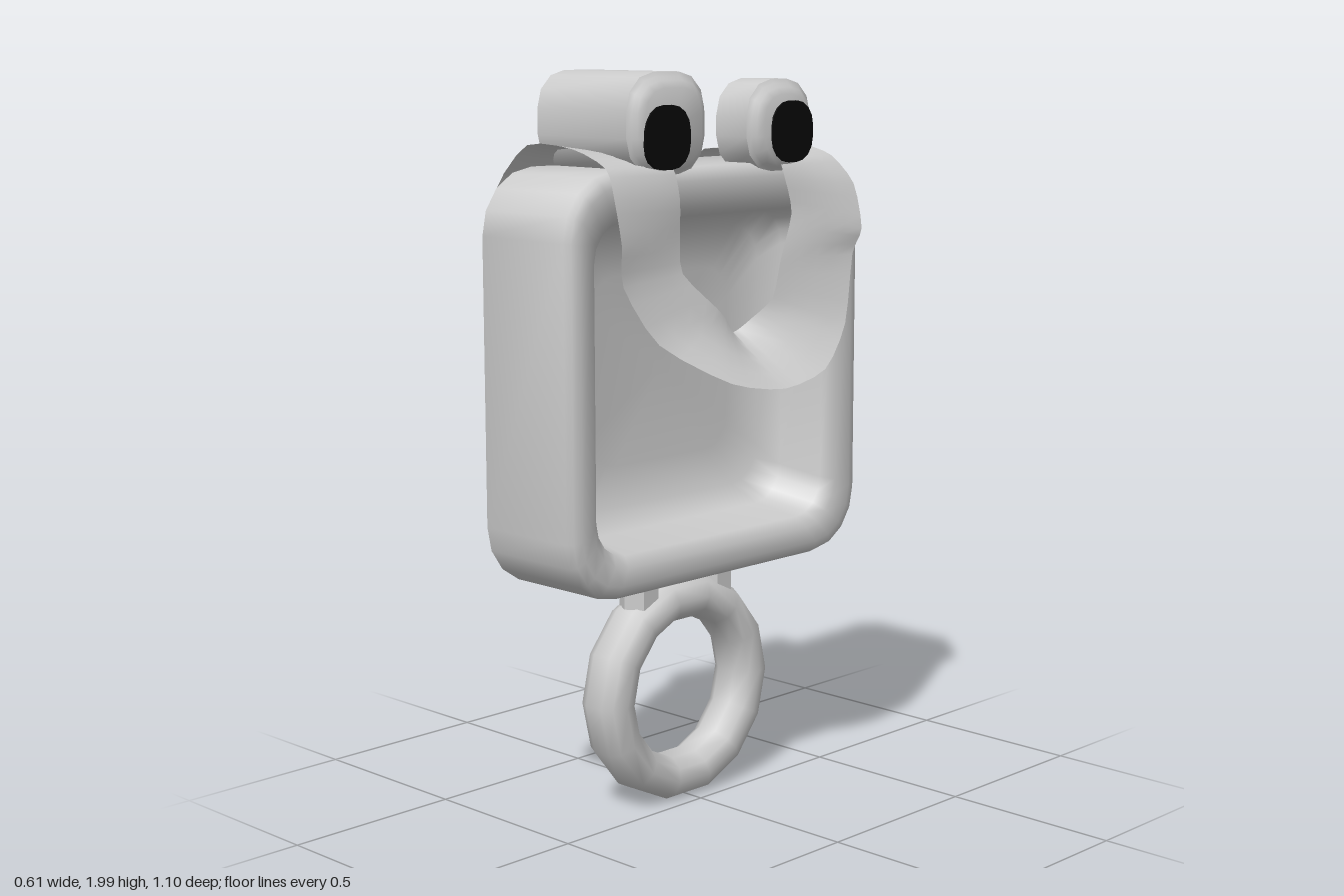
import * as THREE from 'three';
import { toCreasedNormals } from 'three/addons/utils/BufferGeometryUtils.js';

const grey = new THREE.MeshStandardMaterial({ color: 0xcccccc });
const black = new THREE.MeshStandardMaterial({ color: 0x080808 });
const cloth = new THREE.MeshStandardMaterial({ color: 0xcccccc, side: THREE.DoubleSide });

// Rounded rectangle across z and y at one x, counter-clockwise seen from +x
function roundedLoop([x, z0, z1, y0, y1, r], segs) {
  const corners = [[z0 + r, y1 - r], [z1 - r, y1 - r], [z1 - r, y0 + r], [z0 + r, y0 + r]];
  const loop = [];
  corners.forEach(([cz, cy], c) => {
    for (let i = 0; i <= segs; i++) {
      const a = Math.PI - (c + i / segs) * Math.PI / 2;
      loop.push(new THREE.Vector3(x, cy + r * Math.sin(a), cz + r * Math.cos(a)));
    }
  });
  return loop.reverse();
}

// Skin a list of rounded rectangles and cap both ends
function loft(sections, segs, crease) {
  const loops = sections.map(s => roundedLoop(s, segs));
  const n = loops[0].length, pts = [], idx = [];
  const add = p => pts.push(p) - 1;
  const centre = loop => loop.reduce((s, p) => s.add(p), new THREE.Vector3()).divideScalar(n);
  loops.forEach(loop => loop.forEach(add));
  const first = add(centre(loops[0])), last = add(centre(loops.at(-1)));
  const end = (loops.length - 1) * n;
  // the loops run from -z over +y when seen from +x after reversal is undone here
  const area = loops[0].reduce((s, p, i) => {
    const q = loops[0][(i + 1) % n];
    return s + p.y * q.z - p.z * q.y;
  }, 0);
  const tri = (a, b, c) => (area > 0 ? idx.push(a, b, c) : idx.push(a, c, b));
  for (let i = 0; i < n; i++) {
    const j = (i + 1) % n;
    for (let k = 0; k < end; k += n) {
      tri(k + i, k + j, k + n + j);
      tri(k + i, k + n + j, k + n + i);
    }
    tri(first, j, i);
    tri(last, end + i, end + j);
  }
  const g = new THREE.BufferGeometry().setFromPoints(pts);
  g.setIndex(idx);
  return toCreasedNormals(g, crease);
}

function mesh(name, geometry, material = grey) {
  const m = new THREE.Mesh(geometry, material);
  m.name = name;
  return m;
}

// Eye: barrel with a bevelled front and a dark pupil
function makeEye(name, back, z0, z1, y0, y1) {
  const eye = new THREE.Group();
  eye.name = name;
  const r = 0.095, zc = Math.sign(z0) * 0.235;
  eye.add(mesh('eyeBarrel', loft([
    [back, z0, z1, y0, y1, r],
    [0.08, z0, z1, y0, y1, r],
    [0.088, z0 + 0.012, z1 - 0.012, y0 + 0.01, y1 - 0.012, r - 0.01],
    [0.1, z0 + 0.02, z1 - 0.02, y0 + 0.015, y1 - 0.022, r - 0.015],
    [0.11, z0 + 0.04, z1 - 0.04, y0 + 0.03, y1 - 0.04, r - 0.03],
  ], 3, 0.75)));
  eye.add(mesh('pupil', loft([
    [0.1, zc - 0.08, zc + 0.08, 1.755, 1.918, 0.065],
    [0.115, zc - 0.08, zc + 0.08, 1.755, 1.918, 0.065],
  ], 4, 0.6), black));
  return eye;
}

// Cloth strip between an outer and an inner edge
function makeBib() {
  // outer x, y, z, inner x, y, z
  const straps = [
    [-0.29, 1.57, 0.455, -0.27, 1.55, 0.22],
    [-0.30, 1.70, 0.45, -0.27, 1.70, 0.22],
    [-0.18, 1.815, 0.45, -0.19, 1.78, 0.21],
    [-0.02, 1.81, 0.44, -0.02, 1.78, 0.20],
    [0.09, 1.765, 0.43, 0.09, 1.765, 0.20],
    [0.13, 1.69, 0.44, 0.12, 1.68, 0.20],
  ];
  const front = [
    [0.15, 1.58, 0.435, 0.12, 1.58, 0.20],
    [0.15, 1.475, 0.43, 0.13, 1.49, 0.20],
    [0.19, 1.326, 0.345, 0.155, 1.395, 0.10],
    [0.285, 1.22, 0.18, 0.14, 1.355, 0.045],
    [0.305, 1.19, 0, 0.12, 1.32, 0],
    [0.285, 1.22, -0.18, 0.14, 1.355, -0.05],
    [0.215, 1.32, -0.34, 0.155, 1.405, -0.115],
    [0.17, 1.50, -0.42, 0.145, 1.50, -0.155],
    [0.185, 1.57, -0.44, 0.125, 1.62, -0.22],
    [0.15, 1.69, -0.445, 0.115, 1.71, -0.205],
  ];
  const rear = straps.slice(0, 5).reverse().map(([a, b, c, d, e, f]) =>
    [Math.max(a, -0.277), Math.min(b, 1.79), -c + 0.01, Math.max(d, -0.265), e, -f]);
  rear.at(-1)[1] = rear.at(-1)[4] = 1.52;
  const rows = [...straps, ...front, ...rear];
  const edge = o => new THREE.CatmullRomCurve3(
    rows.map(r => new THREE.Vector3(r[o], r[o + 1], r[o + 2])), false, 'catmullrom', 0.35);
  const outer = edge(0), inner = edge(3);
  const along = (rows.length - 1) * 3, across = 4;
  const g = new THREE.PlaneGeometry(1, 1, across, along);
  const pos = g.attributes.position;
  for (let j = 0, v = 0; j <= along; j++) {
    const a = outer.getPoint(j / along), b = inner.getPoint(j / along);
    for (let i = 0; i <= across; i++, v++) {
      const p = a.clone().lerp(b, i / across);
      pos.setXYZ(v, p.x, p.y, p.z);
    }
  }
  g.computeVertexNormals();
  return mesh('bib', g, cloth);
}

export function createModel() {
  const model = new THREE.Group();
  model.name = 'openMouthedTag';

  // Case: rounded box with a scooped mouth in its +x face
  model.add(mesh('body', loft([
    [-0.253, -0.535, 0.535, 0.67, 1.74, 0.16],
    [-0.243, -0.55, 0.55, 0.655, 1.755, 0.17],
    [0.06, -0.55, 0.55, 0.655, 1.755, 0.17],
    [0.078, -0.54, 0.54, 0.665, 1.745, 0.16],
    [0.085, -0.515, 0.515, 0.69, 1.72, 0.14],
    [0.085, -0.455, 0.475, 0.735, 1.655, 0.12],
    [0.06, -0.42, 0.445, 0.765, 1.627, 0.1],
    [-0.08, -0.405, 0.425, 0.785, 1.615, 0.1],
    [-0.13, -0.36, 0.38, 0.84, 1.57, 0.1],
    [-0.145, -0.25, 0.27, 0.95, 1.46, 0.09],
  ], 4, 1.0)));

  model.add(makeEye('leftEye', -0.25, 0.07, 0.35, 1.74, 2.0));
  model.add(makeEye('rightEye', -0.03, -0.34, -0.09, 1.73, 1.975));
  model.add(makeBib());

  // Hanging ring, turned around the x axis
  const profile = [
    [0.2, -0.03], [0.225, -0.065], [0.26, -0.075], [0.3, -0.06], [0.315, -0.03],
    [0.315, 0.03], [0.3, 0.06], [0.26, 0.075], [0.225, 0.065], [0.2, 0.03], [0.2, -0.03],
  ].map(p => new THREE.Vector2(...p));
  const ring = mesh('ring', toCreasedNormals(new THREE.LatheGeometry(profile, 14), 1.1));
  ring.rotation.z = -Math.PI / 2;
  ring.position.set(-0.095, 0.314, 0);
  model.add(ring);

  // Pegs joining ring and body
  for (const side of [1, -1]) {
    const peg = mesh('peg', toCreasedNormals(new THREE.CylinderGeometry(0.055, 0.055, 0.12, 6), 0.5));
    peg.position.set(-0.095, 0.625, side * 0.143);
    model.add(peg);
  }
  return model;
}
